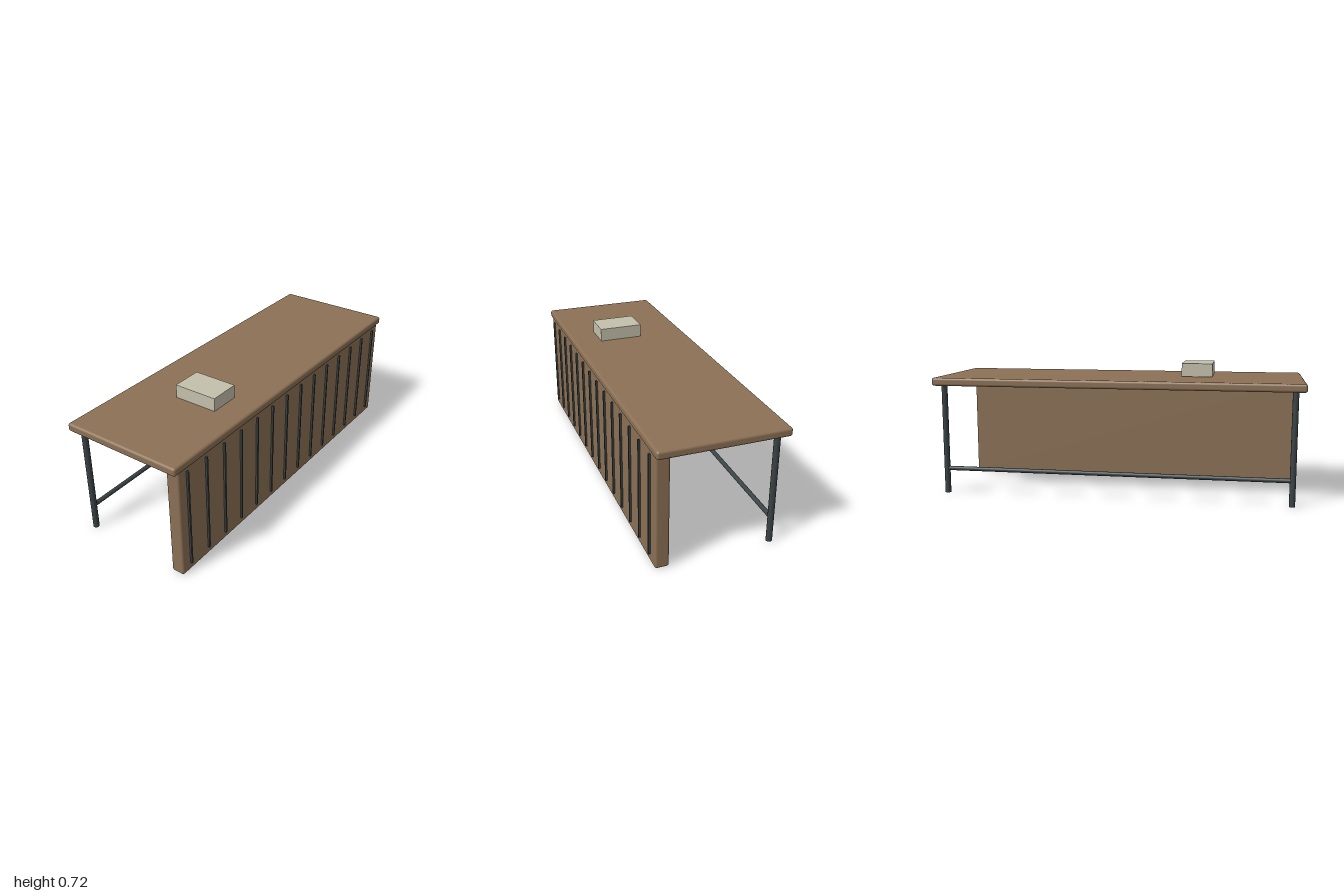
import * as THREE from 'three';
import { RoundedBoxGeometry } from 'three/addons/geometries/RoundedBoxGeometry.js';

const wood = new THREE.MeshStandardMaterial({ color: 0x8b7055 });
const metal = new THREE.MeshStandardMaterial({ color: 0x3a4244 });
const pale = new THREE.MeshStandardMaterial({ color: 0xc4c0ad });

export function createModel() {
  const desk = new THREE.Group();
  desk.name = 'desk';

  const add = (name, geometry, material, x, y, z) => {
    const mesh = new THREE.Mesh(geometry, material);
    mesh.name = name;
    mesh.position.set(x, y, z);
    desk.add(mesh);
    return mesh;
  };

  // Worktop and front panel with softened edges
  add('worktop', new RoundedBoxGeometry(2, 0.044, 0.667, 4, 0.013), wood, 0, 0.625, -0.002);
  add('frontPanel', new RoundedBoxGeometry(1.94, 0.61, 0.072, 4, 0.012), wood, 0, 0.305, 0.29);

  // Thin upright slats across the front
  const slatCount = 14;
  const slatGeometry = new THREE.BoxGeometry(0.01, 0.545, 0.011);
  for (let i = 0; i < slatCount; i++) {
    const x = -0.91 + (1.81 * i) / (slatCount - 1);
    add('slat', slatGeometry, metal, x, 0.316, 0.331);
  }

  // Back legs joined by a low rail
  const legGeometry = new THREE.CylinderGeometry(0.016, 0.016, 0.605, 24);
  for (const side of [-1, 1]) add('backLeg', legGeometry, metal, side * 0.945, 0.3025, -0.286);
  const rail = add('backRail', new THREE.CylinderGeometry(0.012, 0.012, 1.89, 20), metal, 0, 0.138, -0.286);
  rail.rotation.z = Math.PI / 2;

  // Small box resting on the worktop
  add('box', new THREE.BoxGeometry(0.168, 0.072, 0.242), pale, -0.425, 0.686, 0.059);

  return desk;
}
